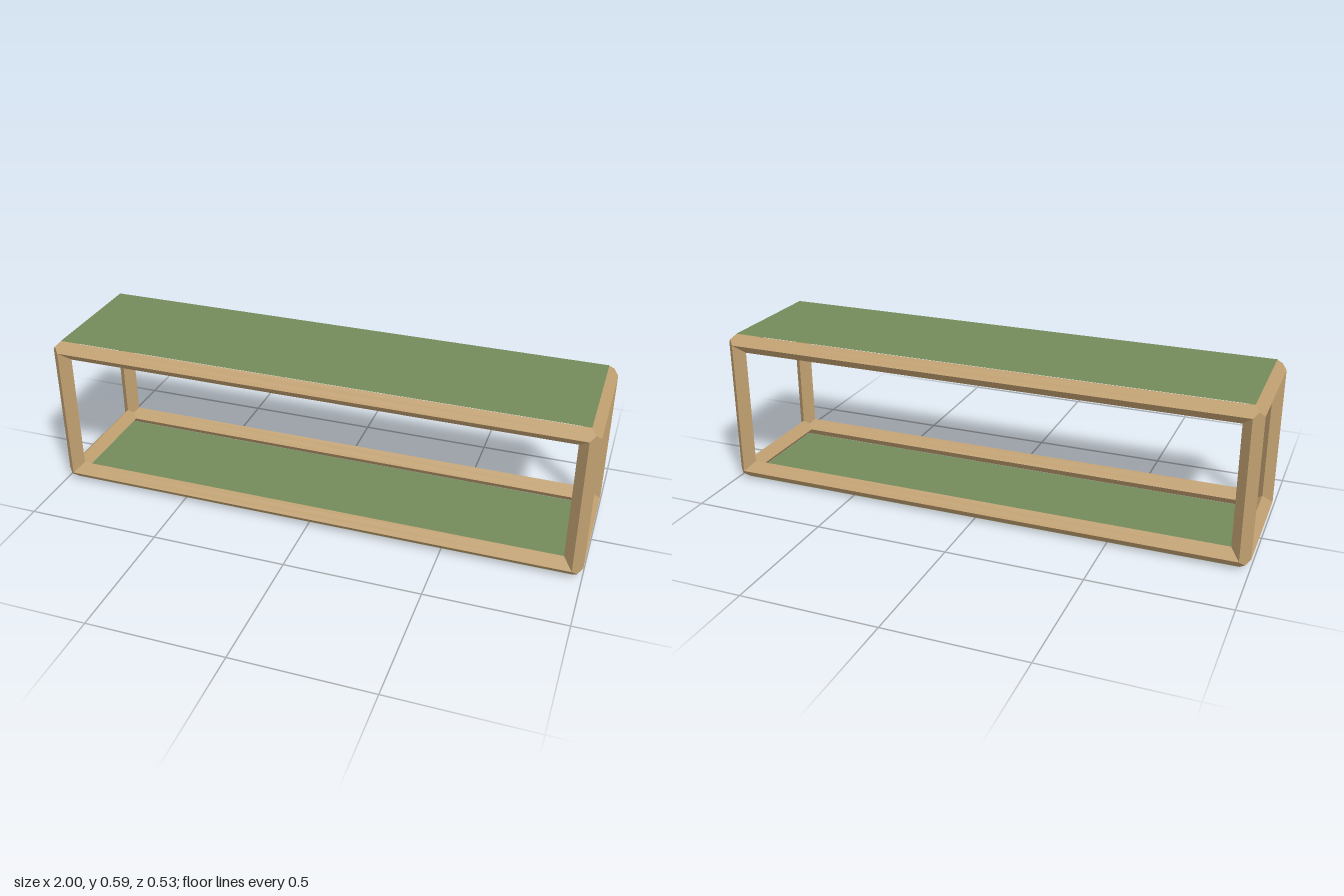
import * as THREE from 'three';

const R = 0.035;                      // half diagonal of the diamond-section bars
const HALF = [0.965, 0.259, 0.228];   // half distances between bar centre lines (x, y, z)
const MID_Y = 0.296;

// Diamond section with face midpoints: [outward v, outward w, mitre offset at the ends], in units of R
const SECTION = [
  [1, 0, 0], [0.5, 0.5, 0.5], [0, 1, 0], [-0.5, 0.5, -0.5],
  [-1, 0, -1], [-0.5, -0.5, -0.5], [0, -1, -1], [0.5, -0.5, -0.5],
];

// Mitred bar along axis u, on the edge given by the signs of the two other axes
function barGeometry(u, sv, sw) {
  const v = (u + 1) % 3, w = (u + 2) % 3;
  const point = (i, end) => {
    const [a, b, e] = SECTION[i % SECTION.length];
    const p = [0, 0, 0];
    p[u] = end * (HALF[u] + e * R);
    p[v] = sv * (HALF[v] + a * R);
    p[w] = sw * (HALF[w] + b * R);
    return p;
  };
  const positions = [];
  for (let i = 0; i < SECTION.length; i++) {
    const a = point(i, -1), b = point(i + 1, -1), c = point(i + 1, 1), d = point(i, 1);
    const corners = sv * sw > 0 ? [a, b, c, a, c, d] : [a, c, b, a, d, c];
    corners.forEach((p) => positions.push(...p));
  }
  const geometry = new THREE.BufferGeometry();
  geometry.setAttribute('position', new THREE.Float32BufferAttribute(positions, 3));
  geometry.computeVertexNormals();
  return geometry;
}

export function createModel() {
  const model = new THREE.Group();
  model.name = 'shelfFrame';
  const wood = new THREE.MeshStandardMaterial({ color: 0xbf9f70, flatShading: true });
  const green = new THREE.MeshStandardMaterial({ color: 0x738a5a, side: THREE.DoubleSide });

  // Twelve mitred bars along the edges of the box
  const frame = new THREE.Group();
  frame.name = 'frame';
  frame.position.y = MID_Y;
  ['longRail', 'post', 'endRail'].forEach((name, axis) => {
    for (const sv of [-1, 1]) {
      for (const sw of [-1, 1]) {
        const bar = new THREE.Mesh(barGeometry(axis, sv, sw), wood);
        bar.name = name;
        frame.add(bar);
      }
    }
  });
  model.add(frame);

  // Thin panels lying flush with the outer ridges of the rails
  for (const [name, side] of [['topPanel', 1], ['bottomPanel', -1]]) {
    const panel = new THREE.Mesh(new THREE.PlaneGeometry(2 * HALF[0], 2 * HALF[2]), green);
    panel.name = name;
    panel.rotation.x = -Math.PI / 2;
    panel.position.y = MID_Y + side * (HALF[1] + R + 0.001);
    model.add(panel);
  }
  return model;
}
